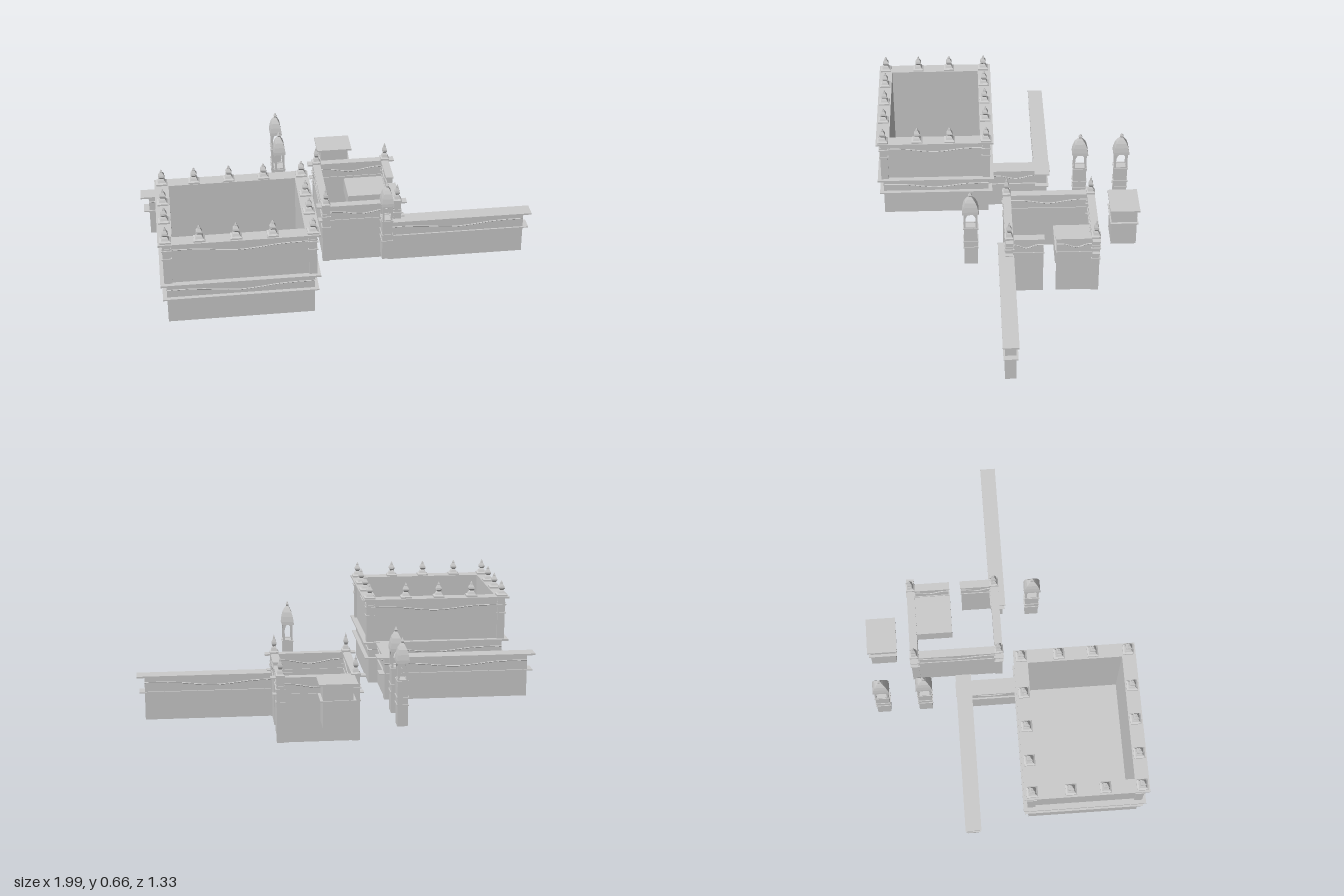
import * as THREE from 'three';

const mat = new THREE.MeshStandardMaterial({ color: 0xcccccc, flatShading: true, side: THREE.DoubleSide });

function add(parent, geometry, name) {
  const mesh = new THREE.Mesh(geometry, mat);
  mesh.name = name;
  parent.add(mesh);
  return mesh;
}

function group(parent, name) {
  const g = new THREE.Group();
  g.name = name;
  parent.add(g);
  return g;
}

// Box given by its limits
function box(parent, name, x0, x1, y0, y1, z0, z1) {
  const m = add(parent, new THREE.BoxGeometry(x1 - x0, y1 - y0, z1 - z0), name);
  m.position.set((x0 + x1) / 2, (y0 + y1) / 2, (z0 + z1) / 2);
  return m;
}

// Rectangular frame in plan, t thick, raised from y0 to y1
function ring(parent, name, x0, x1, y0, y1, z0, z1, t) {
  const rect = (C, a, b, c, d) => new C([[a, c], [b, c], [b, d], [a, d]].map(p => new THREE.Vector2(...p)));
  const shape = rect(THREE.Shape, x0, x1, -z1, -z0);
  shape.holes.push(rect(THREE.Path, x0 + t, x1 - t, -z1 + t, -z0 - t));
  const g = new THREE.ExtrudeGeometry(shape, { depth: y1 - y0, bevelEnabled: false });
  g.rotateX(-Math.PI / 2).translate(0, y0, 0);
  return add(parent, g, name);
}

// Four-sided turned form, profile as [half width, height]
function squareLathe(parent, name, profile, depthRatio = 1) {
  const pts = profile.map(([r, y]) => new THREE.Vector2(r * Math.SQRT2, y));
  const g = new THREE.LatheGeometry(pts, 4);
  g.rotateY(Math.PI / 4).scale(1, 1, depthRatio);
  return add(parent, g, name);
}

const FINIAL = [[1, 0], [1, 0.1], [0.7, 0.16], [0.5, 0.3], [0.3, 0.38], [0.55, 0.5], [0.5, 0.6], [0.22, 0.78], [0.2, 0.85], [0, 1]];

function finial(parent, x, y, z, half, height) {
  const m = squareLathe(parent, 'finial', FINIAL.map(([r, h]) => [r * half, h * height]));
  m.position.set(x, y, z);
}

// Wall with coping, string course and a moulding that dips in the middle
function wall(parent, name, x0, x1, y0, y1, z0, z1, end = 0.04, side = 0.012) {
  const g = group(parent, name);
  const alongX = x1 - x0 > z1 - z0;
  const ox = alongX ? end : side, oz = alongX ? side : end;
  box(g, 'wallBody', x0, x1, y0, y1 - 0.008, z0, z1);
  box(g, 'coping', x0 - ox, x1 + ox, y1 - 0.008, y1, z0 - oz, z1 + oz);
  box(g, 'stringCourse', x0 - ox * 0.7, x1 + ox * 0.7, y1 - 0.088, y1 - 0.083, z0 - oz * 0.7, z1 + oz * 0.7);
  if (alongX) for (const z of [z0, z1]) moulding(g, [x0, x1], y1 - 0.035, t => [t, z]);
  else for (const x of [x0, x1]) moulding(g, [z0, z1], y1 - 0.035, t => [x, t]);
  return g;
}

// Thin wavy moulding along a wall face
function moulding(parent, [a, b], y, place) {
  const dips = [0, 0, -0.004, -0.014, -0.02, -0.014, -0.004, 0, 0];
  const pts = dips.map((d, i) => {
    const [x, z] = place(a + (b - a) * i / 8);
    return new THREE.Vector3(x, y + d, z);
  });
  add(parent, new THREE.TubeGeometry(new THREE.CatmullRomCurve3(pts), 24, 0.003, 4), 'moulding');
}

// Corner pilaster with stepped capital
function pilaster(parent, x, z, y0, y1, half) {
  box(parent, 'pilaster', x - half, x + half, y0, y1, z - half, z + half);
  for (const [f, w] of [[0.62, 1.25], [0.82, 1.3], [0.87, 1.15]]) {
    const y = y0 + (y1 - y0) * f, h = half * w;
    box(parent, 'pilasterBand', x - h, x + h, y, y + 0.006, z - h, z + h);
  }
}

// Lantern tower: shaft, four open arches, pointed roof
function tower(parent, x, z) {
  const g = group(parent, 'lanternTower');
  g.position.set(x, 0, z);
  const hx = 0.025, hz = 0.034;
  box(g, 'shaft', -hx, hx, 0.125, 0.35, -hz, hz);
  for (const y of [0.225, 0.262, 0.342])
    box(g, 'shaftBand', -hx - 0.004, hx + 0.004, y, y + 0.007, -hz - 0.004, hz + 0.004);
  for (const [w, off, turn] of [[hx, hz, 0], [hz, hx, 1]]) for (const s of [-1, 1]) {
    const shape = new THREE.Shape();
    shape.moveTo(-w, 0).lineTo(w, 0).lineTo(w, 0.1).lineTo(-w, 0.1).closePath();
    const a = w - 0.009;
    const hole = new THREE.Path();
    hole.moveTo(-a, 0.004).lineTo(-a, 0.055).quadraticCurveTo(-a * 0.8, 0.08, 0, 0.09);
    hole.quadraticCurveTo(a * 0.8, 0.08, a, 0.055).lineTo(a, 0.004).closePath();
    shape.holes.push(hole);
    const geo = new THREE.ExtrudeGeometry(shape, { depth: 0.008, bevelEnabled: false, curveSegments: 5 });
    geo.translate(0, 0.35, off - 0.008).rotateY(turn * Math.PI / 2 + (s < 0 ? Math.PI : 0));
    add(g, geo, 'archPanel');
  }
  squareLathe(g, 'pointedRoof', [[0, 0.435], [0.031, 0.435], [0.03, 0.45], [0.026, 0.475], [0.02, 0.498],
    [0.012, 0.515], [0.005, 0.527], [0.007, 0.535], [0.004, 0.543], [0, 0.553]], 1.33);
}

export function createModel() {
  const root = new THREE.Group();
  root.name = 'walledCourtyards';

  // Great hall: open-topped block in two storeys
  const hall = group(root, 'greatHall');
  const [X0, X1, Z0, Z1] = [-0.89, -0.193, 0.09, 0.632];
  ring(hall, 'hallWalls', X0, X1, 0.13, 0.57, Z0, Z1, 0.04);
  box(hall, 'hallFloor', X0 + 0.001, X1 - 0.001, 0.13, 0.14, Z0 + 0.001, Z1 - 0.001);
  for (const [name, y, h, o, t] of [['lowerBand', 0.262, 0.006, 0.02, 0.03], ['middleCornice', 0.342, 0.009, 0.028, 0.04],
    ['topCornice', 0.567, 0.009, 0.028, 0.068]])
    ring(hall, name, X0 - o, X1 + o, y, y + h, Z0 - o, Z1 + o, t);
  for (const y of [0.307, 0.53]) {
    for (const z of [Z0, Z1]) moulding(hall, [X0, X1], y, t => [t, z]);
    for (const x of [X0, X1]) moulding(hall, [Z0, Z1], y, t => [x, t]);
  }
  for (const x of [-0.88, -0.2]) for (const z of [0.1, 0.622]) pilaster(hall, x, z, 0.35, 0.567, 0.019);
  for (const z of [0.1, 0.625]) for (const x of [-0.882, -0.725, -0.555, -0.385, -0.198]) finial(hall, x, 0.576, z, 0.027, 0.08);
  for (const x of [-0.882, -0.198]) for (const z of [0.285, 0.45]) finial(hall, x, 0.576, z, 0.027, 0.08);

  // Free walls
  wall(root, 'rearWall', -0.955, -0.235, 0.13, 0.35, -0.215, -0.162);
  wall(root, 'linkWall', -0.295, -0.24, 0.13, 0.35, -0.2, 0.09, 0.03);
  wall(root, 'sideWall', 0.25, 0.955, 0, 0.23, -0.012, 0.042);

  // Small court with a gap in its left wall
  const court = group(root, 'smallCourt');
  const runs = [[-0.08, 0.315, -0.014, 0.014], [-0.08, 0.315, -0.444, -0.416],
    [-0.08, -0.052, -0.43, 0], [0.285, 0.313, -0.43, -0.235], [0.285, 0.313, -0.17, 0]];
  runs.forEach(([a, b, c, d], i) => wall(court, 'courtWall', a, b, 0, 0.328, c, d, i < 2 ? 0.033 : 0.005, 0.006));
  for (const x of [-0.065, 0.3]) for (const z of [0, -0.43]) {
    pilaster(court, x, z, 0, 0.322, 0.019);
    finial(court, x, 0.328, z, 0.022, 0.098);
  }
  box(court, 'innerPlatform', 0.08, 0.285, 0.15, 0.23, -0.416, -0.23);

  // Pedestal behind the court
  const pedestal = group(root, 'pedestal');
  box(pedestal, 'pedestalBody', -0.028, 0.115, 0.13, 0.342, -0.653, -0.525);
  box(pedestal, 'pedestalCornice', -0.05, 0.135, 0.342, 0.351, -0.665, -0.515);
  box(pedestal, 'pedestalBand', -0.042, 0.128, 0.262, 0.268, -0.66, -0.518);

  for (const [x, z] of [[-0.265, -0.6], [-0.265, -0.387], [0.218, 0.188]]) tower(root, x, z);
  return root;
}
